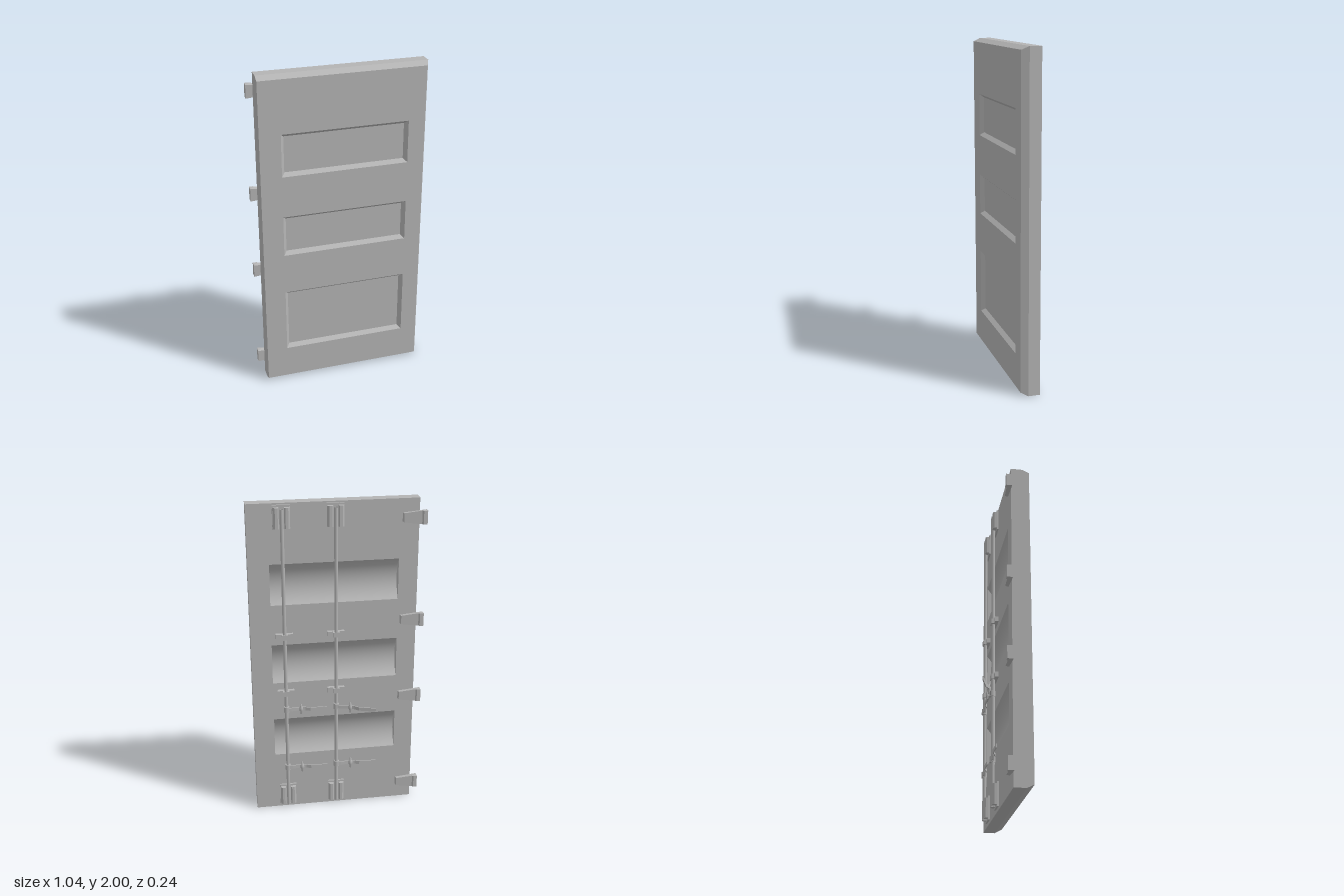
import * as THREE from 'three';

const steel = new THREE.MeshStandardMaterial({ color: 0xb4b4b4, side: THREE.DoubleSide });
steel.name = 'grey steel';

const FRONT = 0.115, EDGE = 0.073, BACK = 0.003; // panel planes in z
const L = -0.485, R = 0.52, BEVEL = 0.02;

function add(parent, name, geometry, x = 0, y = 0, z = 0) {
  const mesh = new THREE.Mesh(geometry, steel);
  mesh.name = name;
  mesh.position.set(x, y, z);
  parent.add(mesh);
  return mesh;
}

const box = (w, h, d) => new THREE.BoxGeometry(w, h, d);

// rectangle corners, counter-clockwise seen from the front
const rect = (x0, y0, x1, y1, z) => [[x0, y0, z], [x1, y0, z], [x1, y1, z], [x0, y1, z]];

// flat walls joining two four-cornered loops
function walls(a, b) {
  const p = [];
  for (let i = 0; i < 4; i++) {
    const j = (i + 1) % 4;
    for (const v of [a[i], b[j], b[i], a[i], a[j], b[j]]) p.push(...v);
  }
  const g = new THREE.BufferGeometry();
  g.setAttribute('position', new THREE.Float32BufferAttribute(p, 3));
  g.computeVertexNormals();
  return g;
}

const outline = loop => loop.map(p => new THREE.Vector2(p[0], p[1]));

// flat sheet with rectangular openings
function sheet(loop, holes) {
  const s = new THREE.Shape(outline(loop));
  holes.forEach(h => s.holes.push(new THREE.Path(outline(h))));
  return new THREE.ShapeGeometry(s);
}

// plan profile in [x, z], extruded to height h about y = 0
function planExtrude(points, h) {
  const s = new THREE.Shape(points.map(p => new THREE.Vector2(p[0], p[1])));
  const g = new THREE.ExtrudeGeometry(s, { depth: h, bevelEnabled: false });
  return g.rotateX(Math.PI / 2).translate(0, h / 2, 0);
}

function makePanel() {
  const g = new THREE.Group();
  g.name = 'doorPanel';
  const face = rect(L, BEVEL, R - BEVEL, 2 - BEVEL, FRONT);
  const edge = rect(L, 0, R, 2, EDGE);
  const back = rect(L, 0, R, 2, BACK);
  const fields = [[1.4, 1.66], [0.89, 1.145], [0.225, 0.635]];

  // front face with sunken fields
  const openings = fields.map(([a, b]) => rect(-0.36, a, 0.4, b, FRONT));
  add(g, 'frontFace', sheet(face, openings), 0, 0, FRONT);
  fields.forEach(([a, b], i) => {
    const floor = rect(-0.34, a + 0.02, 0.38, b - 0.02, FRONT - 0.025);
    add(g, 'fieldBevel', walls(openings[i], floor));
    add(g, 'fieldFloor', sheet(floor, []), 0, 0, FRONT - 0.025);
  });
  add(g, 'bevelEdge', walls(edge, face));
  add(g, 'sideEdge', walls(back, edge));

  // back face with three shallow curved troughs
  const depth = 0.05, half = 0.126;
  const r = (half * half + depth * depth) / (2 * depth);
  const ang = Math.asin(half / r);
  const centres = [1.515, 1.01, 0.51];
  const slots = centres.map(y => rect(-0.37, y - half, 0.395, y + half, BACK));
  const backSheet = sheet(back, slots).rotateY(Math.PI).scale(-1, 1, 1);
  const index = backSheet.index.array; // turn the faces to the rear
  for (let i = 0; i < index.length; i += 3) [index[i], index[i + 1]] = [index[i + 1], index[i]];
  for (let i = 0; i < backSheet.attributes.normal.count; i++) backSheet.attributes.normal.setXYZ(i, 0, 0, -1);
  // undo the double turn so triangles wind toward -z
  add(g, 'backFace', backSheet, 0, 0, BACK);

  const trough = new THREE.CylinderGeometry(r, r, 0.765, 16, 1, true, -ang, 2 * ang).rotateZ(Math.PI / 2);
  const ti = trough.index.array;
  for (let i = 0; i < ti.length; i += 3) [ti[i], ti[i + 1]] = [ti[i + 1], ti[i]];
  trough.computeVertexNormals();
  const capShape = new THREE.Shape();
  capShape.absarc(0, 0, r, -ang, ang, false);
  const cap = new THREE.ShapeGeometry(capShape, 16).rotateX(Math.PI / 2).rotateZ(0);
  // plan (x, z) segment turned to stand in the yz plane
  cap.rotateX(-Math.PI / 2).rotateY(-Math.PI / 2);
  for (const y of centres) {
    const z = BACK + depth - r;
    add(g, 'trough', trough, 0.0125, y, z);
    add(g, 'troughEnd', cap, 0.395, y, z);
    add(g, 'troughEnd', cap, -0.37, y, z);
  }
  return g;
}

// wedge hinge leaf, narrowing in height toward the panel
function hingeGeometry() {
  const g = planExtrude([[-0.525, 0.003], [-0.525, -0.033], [-0.502, -0.033], [-0.494, -0.026],
    [-0.39, -0.018], [-0.385, 0.003]], 0.08);
  const p = g.attributes.position;
  for (let i = 0; i < p.count; i++) {
    const t = Math.max(0, (p.getX(i) + 0.494) / 0.109);
    p.setY(i, p.getY(i) * (1 - 0.35 * t));
  }
  g.computeVertexNormals();
  return g;
}

// keeper at the rod end: plate with two chamfered ribs
function makeKeeper(y) {
  const g = new THREE.Group();
  g.name = 'rodKeeper';
  add(g, 'keeperPlate', box(0.104, 0.145, 0.012), 0, 0, -0.002);
  for (const s of [-1, 1]) {
    const rib = [[0.016, -0.004], [0.016, -0.026], [0.022, -0.031], [0.038, -0.031], [0.048, -0.022], [0.05, -0.004]];
    add(g, 'keeperRib', planExtrude(rib.map(([x, z]) => [x * s, z]), 0.122));
  }
  g.position.y = y;
  return g;
}

// clamp that holds the rod to the panel
function makeGuide(y) {
  const g = new THREE.Group();
  g.name = 'rodGuide';
  add(g, 'guideFlange', box(0.104, 0.032, 0.022), 0, 0, -0.008);
  add(g, 'guideCap', box(0.04, 0.032, 0.024), 0, 0, -0.025);
  g.position.y = y;
  return g;
}

// cranked handle, pivoting on the rod axis
function makeHandle(y, angle) {
  const g = new THREE.Group();
  g.name = 'handle';
  add(g, 'handleHub', new THREE.CylinderGeometry(0.017, 0.017, 0.036, 12), 0, 0, -0.003);
  const path = [[0.005, -0.014], [-0.03, -0.011], [-0.075, -0.005], [-0.115, -0.009], [-0.145, -0.022], [-0.25, -0.022]];
  const strip = [...path.map(([x, z]) => [x, z - 0.003]), ...path.slice().reverse().map(([x, z]) => [x, z + 0.003])];
  add(g, 'handleArm', planExtrude(strip, 0.022));
  // upright catch across the arm
  const half = [[0, -0.036], [0.005, -0.034], [0.007, -0.014], [0.012, -0.009]];
  const profile = [...half, ...half.slice().reverse().map(([r, h]) => [r, -h])].map(p => new THREE.Vector2(...p));
  add(g, 'handleCatch', new THREE.LatheGeometry(profile, 10), -0.09, 0, -0.012);
  g.position.set(0, y, -0.023);
  g.rotation.y = angle;
  return g;
}

// one locking rod with its fittings
function makeLock(x, upperAngle) {
  const g = new THREE.Group();
  g.name = 'lockingRod';
  add(g, 'rod', new THREE.CylinderGeometry(0.011, 0.011, 1.94, 14, 1, true), 0, 1, -0.023);
  for (const y of [1.918, 0.092]) g.add(makeKeeper(y));
  for (const y of [1.195, 0.823]) g.add(makeGuide(y));
  g.add(makeHandle(0.715, upperAngle), makeHandle(0.305, 0));
  g.position.x = x;
  return g;
}

export function createModel() {
  const model = new THREE.Group();
  model.name = 'containerDoor';
  model.add(makePanel());
  const hinge = hingeGeometry();
  for (const y of [1.89, 1.26, 0.75, 0.12]) add(model, 'hinge', hinge, 0, y, 0);
  model.add(makeLock(0.008, -0.31), makeLock(0.318, 0));
  return model;
}
